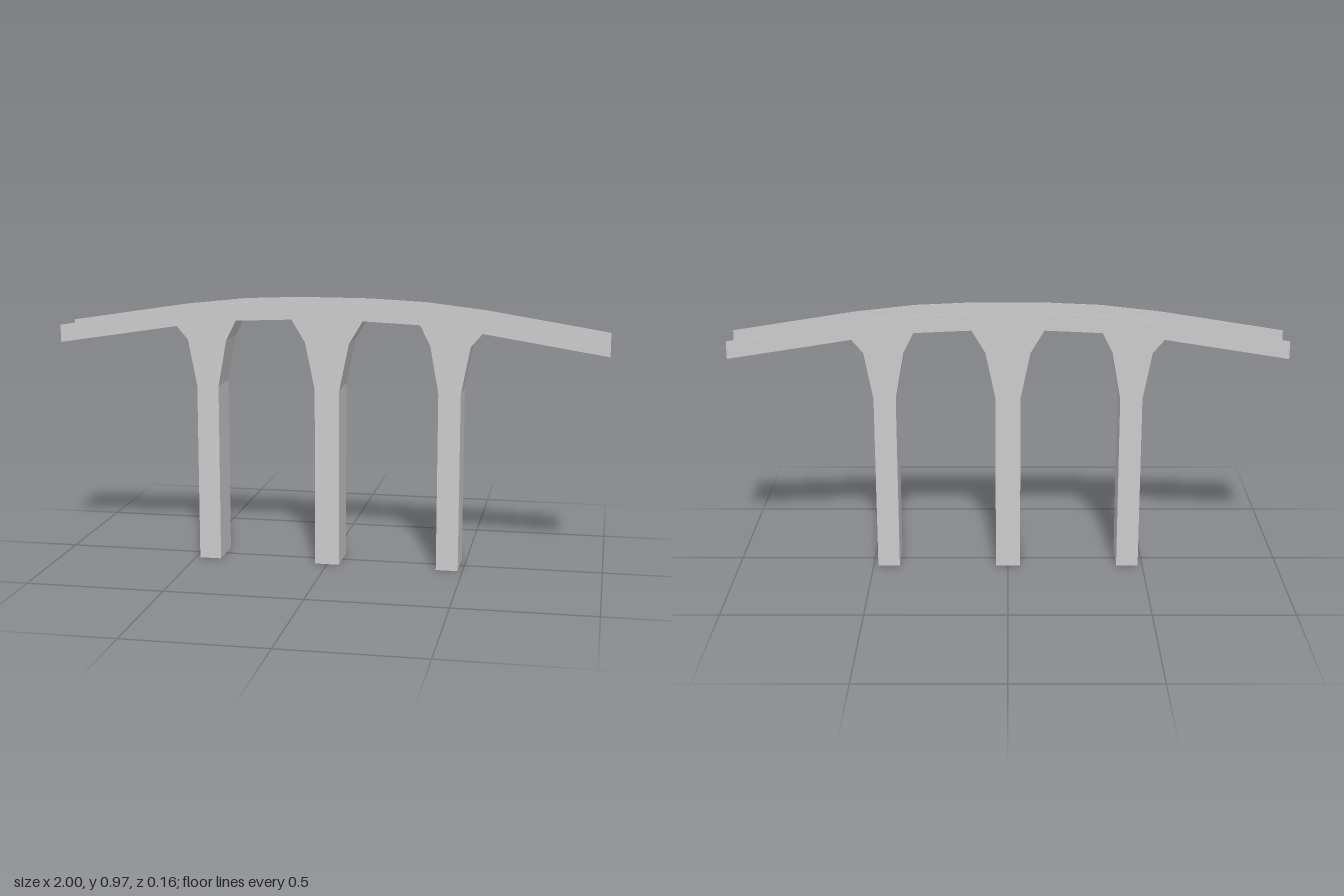
import * as THREE from 'three';

const material = new THREE.MeshStandardMaterial({ color: 0xcccccc, flatShading: true, side: THREE.DoubleSide });

// Underside of the arched deck: [x, y] at each bend
const half = [[0.13, 0.905], [0.335, 0.896], [0.557, 0.871], [1, 0.801]];
const stations = [...half.map(([x, y]) => [-x, y]).reverse(), ...half];

// U-shaped trough section, bent to follow the stations
function makeDeck() {
  const w = 0.078, inner = 0.075, road = 0.014, wall = 0.064;
  const section = new THREE.Shape([
    [-w, 0], [w, 0], [w, wall], [inner, wall], [inner, road], [-inner, road], [-inner, wall], [-w, wall],
  ].map(([x, y]) => new THREE.Vector2(x, y)));
  const steps = stations.length - 1;
  const geometry = new THREE.ExtrudeGeometry(section, { depth: steps, steps, bevelEnabled: false });
  geometry.rotateY(Math.PI / 2);
  const p = geometry.attributes.position;
  for (let i = 0; i < p.count; i++) {
    const [x, y] = stations[Math.round(p.getX(i))];
    p.setXY(i, x, p.getY(i) + y);
  }
  geometry.computeVertexNormals();
  const deck = new THREE.Mesh(geometry, material);
  deck.name = 'deck';
  return deck;
}

// Hollow pier, open below: each level is [xLeft, yLeft, xRight, yRight]
function makePier(name, levels, depth = 0.074) {
  const positions = [], index = [];
  for (const [x0, y0, x1, y1] of levels) {
    positions.push(x0, y0, depth, x1, y1, depth, x1, y1, -depth, x0, y0, -depth);
  }
  for (let level = 0; level < levels.length - 1; level++) {
    for (let k = 0; k < 4; k++) {
      const a = level * 4 + k, b = level * 4 + (k + 1) % 4;
      index.push(a, b, b + 4, a, b + 4, a + 4);
    }
  }
  const indexed = new THREE.BufferGeometry();
  indexed.setAttribute('position', new THREE.Float32BufferAttribute(positions, 3));
  indexed.setIndex(index);
  const geometry = indexed.toNonIndexed();
  geometry.computeVertexNormals();
  const pier = new THREE.Mesh(geometry, material);
  pier.name = name;
  return pier;
}

export function createModel() {
  const group = new THREE.Group();
  group.name = 'bridge';
  group.add(makeDeck());

  // Straight shafts flaring out to meet the deck
  const middle = [[0.045, 0], [0.045, 0.652], [0.08, 0.822], [0.13, 0.905]];
  group.add(makePier('middlePier', middle.map(([x, y]) => [-x, y, x, y])));

  const side = [
    [0.403, 0, 0.483, 0], [0.403, 0.652, 0.483, 0.652],
    [0.372, 0.822, 0.515, 0.822], [0.335, 0.896, 0.557, 0.871],
  ];
  group.add(makePier('leftPier', side));
  group.add(makePier('rightPier', side.map(([x0, y0, x1, y1]) => [-x1, y1, -x0, y0])));
  return group;
}
